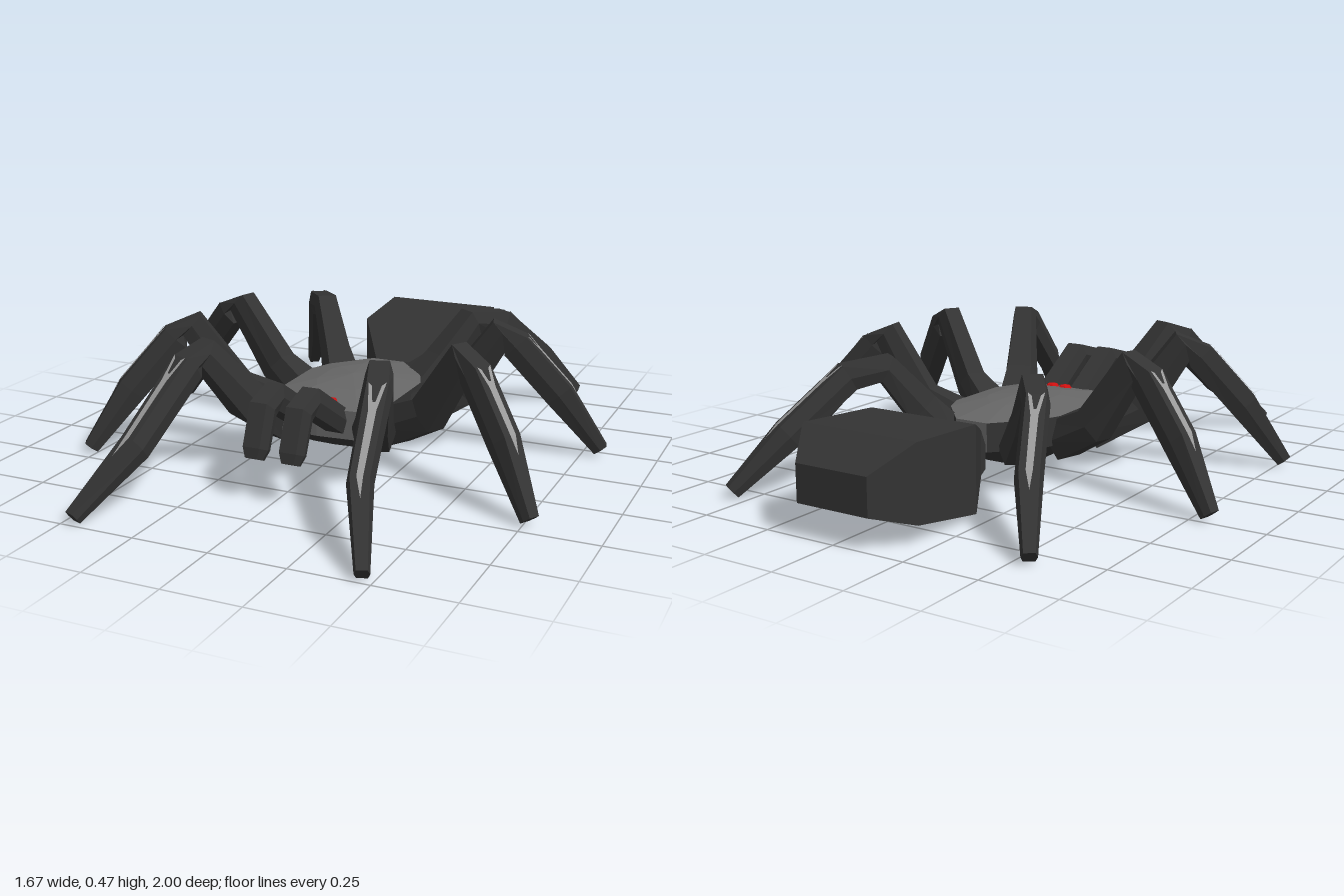
import * as THREE from 'three';

const V = (x, y, z) => new THREE.Vector3(x, y, z);
const UP = V(0, 1, 0);

function mat(name, color, extra = {}) {
  return new THREE.MeshStandardMaterial({ name, color, flatShading: true, ...extra });
}

// mesh from a flat list of triangle corners
function meshOf(name, pts, material) {
  const g = new THREE.BufferGeometry().setFromPoints(pts);
  g.computeVertexNormals();
  const m = new THREE.Mesh(g, material);
  m.name = name;
  return m;
}

const quad = (out, a, b, c, d) => out.push(a, b, c, a, c, d);

// skin between rings that run counterclockwise about the loft direction
function loft(rings, capStart = true, capEnd = true) {
  const out = [], n = rings[0].length;
  for (let i = 0; i < rings.length - 1; i++)
    for (let j = 0; j < n; j++) {
      const k = (j + 1) % n;
      quad(out, rings[i][j], rings[i][k], rings[i + 1][k], rings[i + 1][j]);
    }
  const a = rings[0], b = rings[rings.length - 1];
  for (let j = 1; j < n - 1; j++) {
    if (capStart) out.push(a[0], a[j + 1], a[j]);
    if (capEnd) out.push(b[0], b[j], b[j + 1]);
  }
  return out;
}

const HEX = [[0.5, 0], [0.36, 0.5], [-0.36, 0.5], [-0.5, 0], [-0.36, -0.5], [0.36, -0.5]];
const BOX = [[0.5, -0.5], [0.5, 0.5], [-0.5, 0.5], [-0.5, -0.5]];

// frames along a limb: stations are [x, y, z, width, height]
function limbFrames(stations) {
  const p = stations.map(s => V(s[0], s[1], s[2]));
  const along = p[p.length - 1].clone().sub(p[0]).setY(0);
  const side = UP.clone().cross(along).normalize();
  return p.map((c, i) => {
    const t = p[Math.min(i + 1, p.length - 1)].clone().sub(p[Math.max(i - 1, 0)]).normalize();
    return { c, side, n: t.cross(side).normalize(), w: stations[i][3], h: stations[i][4] };
  });
}

const at = (f, a, b, lift = 0) =>
  f.c.clone().addScaledVector(f.side, a * f.w).addScaledVector(f.n, b * f.h + lift);

const limb = (frames, profile) => loft(frames.map(f => profile.map(([a, b]) => at(f, a, b))));

// thin forked stripe lying on the top faces of the shin, from knee to foot
function stripe(knee, shin, foot) {
  const out = [];
  const on = (f0, f1) => (t, a) => at(f0, a, 0.5, 0.004).lerp(at(f1, a, 0.5, 0.004), t);
  const upper = on(knee, shin), lower = on(shin, foot);
  quad(out, upper(0.22, -0.14), upper(0.22, 0.14), upper(1, 0.12), upper(1, -0.12));
  out.push(lower(0, -0.12), lower(0, 0.12), lower(0.25, 0));
  for (const s of [-1, 1])
    quad(out, upper(0, s * 0.3), upper(0.04, s * 0.16), upper(0.3, 0), upper(0.3, s * 0.14));
  return out;
}

export function createModel() {
  const model = new THREE.Group();
  model.name = 'spider';
  const dark = mat('charcoal', 0x333333);
  const grey = mat('shell grey', 0x666666);
  const pale = mat('stripe grey', 0x999999, { side: THREE.DoubleSide });
  const red = mat('eye red', 0xd01010);

  // thorax: dark hull, grey domed shield with grey front and rear walls
  const half = [[0.14, 0.28], [0.205, 0.14], [0.208, -0.1], [0.175, -0.18], [0.06, -0.31]];
  const outline = [[0, 0.29], ...half, ...half.slice().reverse().map(([x, z]) => [-x, z])];
  const level = (y, k) => outline.map(([x, z]) => V(x * k, y, z * k));
  model.add(meshOf('thoraxHull', loft([level(0.053, 0.55), level(0.125, 1)], true, false), dark));
  const low = level(0.125, 1), rim = level(0.222, 1), crown = level(0.247, 0.5);
  const sideWall = [], shield = loft([rim, crown], false, false);
  const n = outline.length;
  for (let j = 0; j < n; j++) {
    const k = (j + 1) % n;
    const isEnd = j === 0 || j === n - 1 || j === 5;
    quad(isEnd ? shield : sideWall, low[j], low[k], rim[k], rim[j]);
    shield.push(crown[j], crown[k], V(0, 0.258, 0));
  }
  model.add(meshOf('thoraxSides', sideWall, dark), meshOf('thoraxShield', shield, grey));

  // abdomen: box sections [z, half width, bottom, top]
  const sections = [
    [-0.31, 0.055, 0.07, 0.15], [-0.35, 0.065, 0.06, 0.21], [-0.57, 0.198, 0.015, 0.295],
    [-0.875, 0.21, 0.068, 0.312], [-1, 0.13, 0.11, 0.23],
  ];
  const abdomen = sections.map(([z, w, y0, y1]) =>
    BOX.map(([a, b]) => V(-2 * a * w, (y0 + y1) / 2 + b * (y1 - y0), z)));
  model.add(meshOf('abdomen', loft(abdomen), dark));

  // left legs: root, thigh, two knee stations, shin, foot
  const legs = {
    frontLeg: [[0.165, 0.135, 0.21, 0.15, 0.13], [0.225, 0.23, 0.34, 0.12, 0.12], [0.303, 0.425, 0.485, 0.085, 0.09],
      [0.322, 0.39, 0.54, 0.09, 0.09], [0.372, 0.195, 0.78, 0.08, 0.085], [0.467, 0.025, 0.982, 0.045, 0.045]],
    secondLeg: [[0.195, 0.135, 0.11, 0.14, 0.13], [0.345, 0.215, 0.185, 0.09, 0.12], [0.485, 0.44, 0.242, 0.08, 0.09],
      [0.53, 0.395, 0.272, 0.085, 0.095], [0.655, 0.225, 0.36, 0.085, 0.095], [0.77, 0.028, 0.45, 0.05, 0.05]],
    thirdLeg: [[0.195, 0.135, -0.06, 0.14, 0.13], [0.345, 0.215, -0.115, 0.09, 0.12], [0.49, 0.435, -0.115, 0.08, 0.09],
      [0.535, 0.39, -0.122, 0.085, 0.095], [0.675, 0.225, -0.172, 0.085, 0.095], [0.81, 0.028, -0.232, 0.05, 0.05]],
    backLeg: [[0.14, 0.135, -0.23, 0.15, 0.13], [0.21, 0.245, -0.305, 0.11, 0.11], [0.285, 0.38, -0.39, 0.09, 0.09],
      [0.36, 0.36, -0.49, 0.085, 0.09], [0.455, 0.195, -0.68, 0.085, 0.09], [0.555, 0.03, -0.835, 0.048, 0.048]],
  };
  const palp = [[0.062, 0.17, 0.25, 0.085, 0.08], [0.062, 0.305, 0.47, 0.08, 0.085],
    [0.062, 0.285, 0.535, 0.08, 0.085], [0.062, 0.17, 0.585, 0.08, 0.075], [0.062, 0.14, 0.598, 0.055, 0.055]];

  for (const [s, sideName] of [[1, 'left'], [-1, 'right']]) {
    const flip = st => st.map(([x, ...rest]) => [x * s, ...rest]);
    for (const [name, stations] of Object.entries(legs)) {
      const f = limbFrames(flip(stations));
      const leg = new THREE.Group();
      leg.name = `${sideName} ${name}`;
      leg.add(meshOf('limb', limb(f, HEX), dark), meshOf('stripe', stripe(f[3], f[4], f[5]), pale));
      model.add(leg);
    }
    model.add(meshOf(`${sideName} palp`, limb(limbFrames(flip(palp)), HEX), dark));

    // eye
    const eye = new THREE.Mesh(new THREE.SphereGeometry(0.026, 6, 4), red);
    eye.name = `${sideName} eye`;
    eye.scale.y = 0.55;
    eye.position.set(0.026 * s, 0.229, 0.235);
    model.add(eye);
  }
  return model;
}
